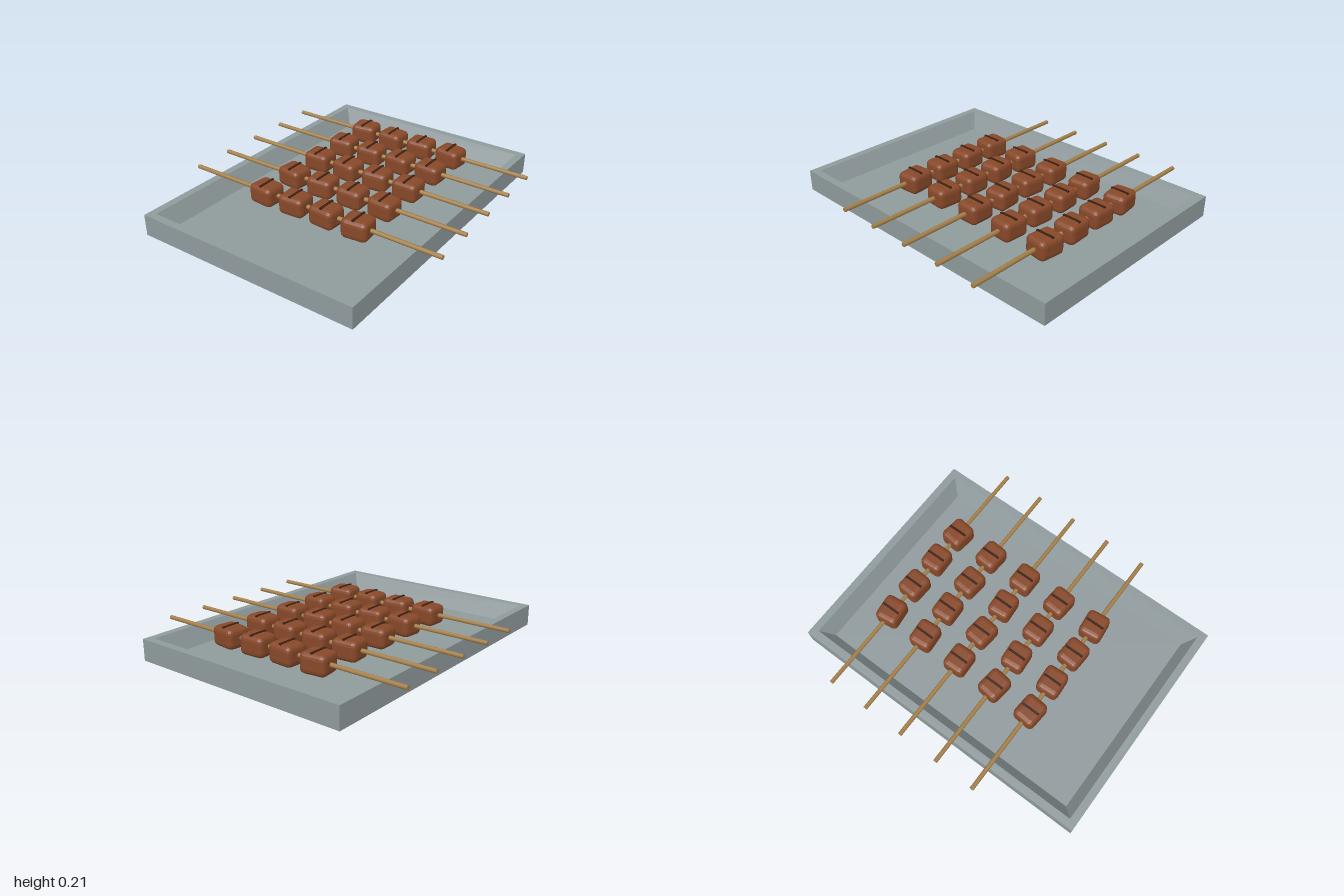
import * as THREE from 'three';
import { RoundedBoxGeometry } from 'three/addons/geometries/RoundedBoxGeometry.js';

const mat = (name, color) => {
  const m = new THREE.MeshStandardMaterial({ color });
  m.name = name;
  return m;
};

// Rectangular rings [halfX, y, halfZ] joined by flat quads and capped at both ends
function ringGeometry(rings) {
  const signs = [[-1, 1], [1, 1], [1, -1], [-1, -1]];
  const corner = (r, j) => [r[0] * signs[j % 4][0], r[1], r[2] * signs[j % 4][1]];
  const pos = [];
  const quad = (a, b, c, d) => pos.push(...a, ...b, ...c, ...a, ...c, ...d);
  for (let k = 0; k < rings.length - 1; k++) {
    for (let j = 0; j < 4; j++) {
      quad(corner(rings[k], j), corner(rings[k], j + 1), corner(rings[k + 1], j + 1), corner(rings[k + 1], j));
    }
  }
  const first = rings[0], last = rings[rings.length - 1];
  quad(corner(last, 0), corner(last, 1), corner(last, 2), corner(last, 3));
  quad(corner(first, 3), corner(first, 2), corner(first, 1), corner(first, 0));
  const geo = new THREE.BufferGeometry();
  geo.setAttribute('position', new THREE.Float32BufferAttribute(pos, 3));
  geo.computeVertexNormals();
  return geo;
}

export function createModel() {
  const model = new THREE.Group();
  model.name = 'skewerTray';
  const steel = mat('trayGrey', 0x8f9a9c);
  const wood = mat('skewerWood', 0xa58049);
  const meat = mat('grilledMeat', 0x874829);
  const char = mat('charMark', 0x3a2014);
  meat.flatShading = true;

  const add = (parent, name, geo, material, x, y, z) => {
    const mesh = new THREE.Mesh(geo, material);
    mesh.name = name;
    mesh.position.set(x, y, z);
    parent.add(mesh);
    return mesh;
  };

  // Shallow tray with sloping inner walls
  add(model, 'tray', ringGeometry([
    [1, 0, 0.733], [1, 0.135, 0.733], [0.952, 0.135, 0.685], [0.893, 0.028, 0.626],
  ]), steel, 0, 0, 0);

  // Skewers, each with four chunks turned a little
  const stickGeo = new THREE.CylinderGeometry(0.0135, 0.0135, 1.78, 8).rotateX(Math.PI / 2);
  const chunkGeo = new RoundedBoxGeometry(0.148, 0.125, 0.17, 2, 0.032);
  const markGeo = new THREE.BoxGeometry(0.12, 0.008, 0.014);
  const turns = [
    [-0.08, 0.06, -0.06, 0.1],
    [-0.12, 0.08, 0, -0.08],
    [0.04, -0.1, 0.08, 0],
    [0.09, 0.05, -0.08, -0.06],
    [0.12, -0.06, 0.04, -0.12],
  ];
  turns.forEach((column, i) => {
    const skewer = new THREE.Group();
    skewer.name = 'skewer' + (i + 1);
    skewer.position.set(-0.403 + i * 0.2665, 0.15, 0);
    model.add(skewer);
    add(skewer, 'stick', stickGeo, wood, 0, 0, 0);
    column.forEach((turn, j) => {
      const z = -0.317 + j * 0.223;
      add(skewer, 'meatChunk', chunkGeo, meat, 0, -0.003, z).rotation.y = turn;
      add(skewer, 'grillMark', markGeo, char, 0, 0.06, z);
    });
  });
  return model;
}
